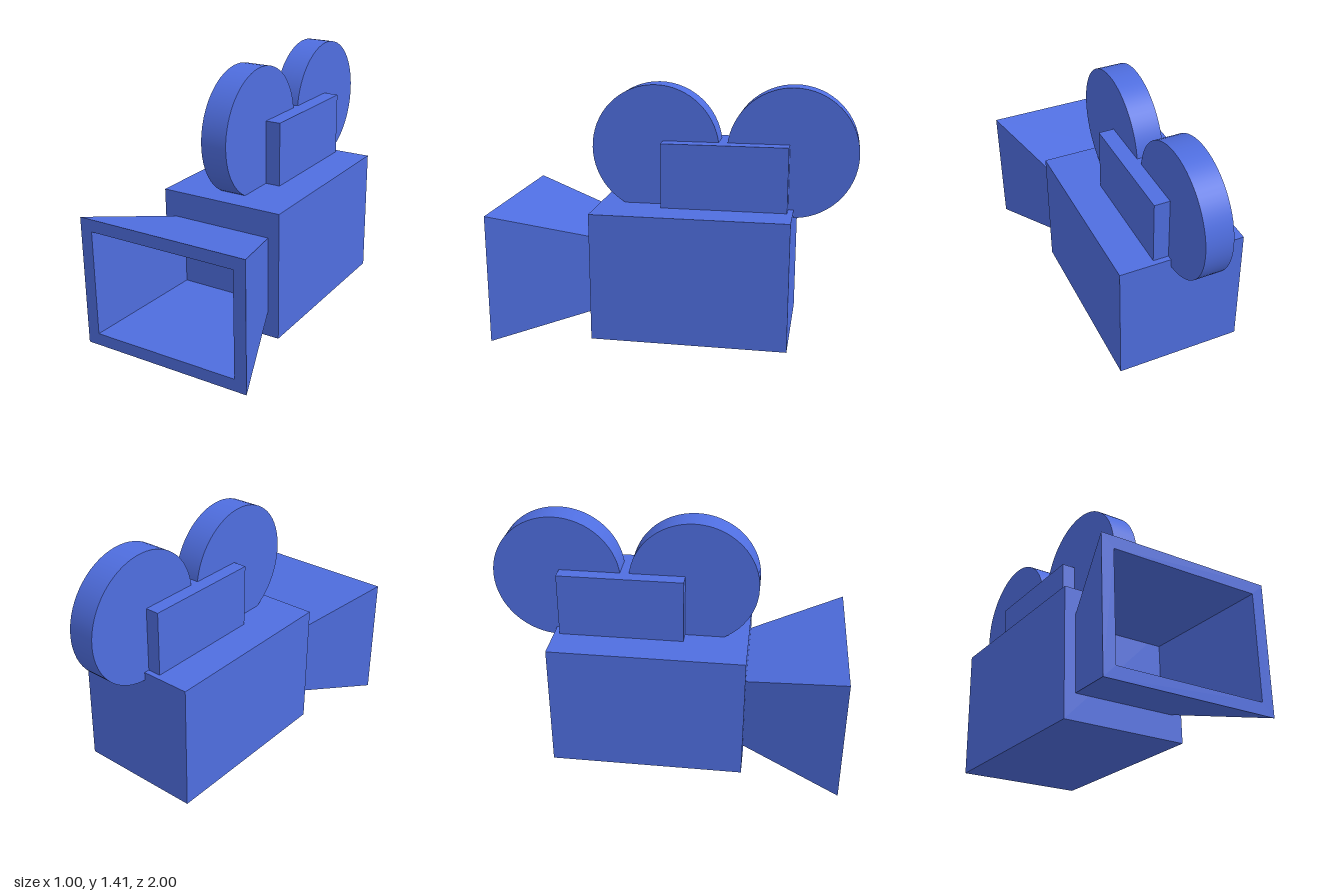
import * as THREE from 'three';

const material = new THREE.MeshStandardMaterial({ color: 0x4f6ee0 });

function addMesh(group, name, geometry, x, y, z) {
  const mesh = new THREE.Mesh(geometry, material);
  mesh.name = name;
  mesh.position.set(x, y, z);
  group.add(mesh);
  return mesh;
}

// Rectangle centred on the origin
function rectangle(target, halfW, halfH) {
  target.moveTo(-halfW, -halfH);
  target.lineTo(halfW, -halfH);
  target.lineTo(halfW, halfH);
  target.lineTo(-halfW, halfH);
  target.closePath();
  return target;
}

// Hollow rectangular frame whose rear end tapers inwards
function hoodGeometry(depth) {
  const frame = rectangle(new THREE.Shape(), 0.5, 0.366);
  frame.holes.push(rectangle(new THREE.Path(), 0.43, 0.297));
  const geometry = new THREE.ExtrudeGeometry(frame, { depth, bevelEnabled: false });
  const p = geometry.attributes.position;
  for (let i = 0; i < p.count; i++) {
    if (p.getZ(i) > depth / 2) continue;
    const taper = Math.abs(p.getX(i)) > 0.46 ? 0.597 : 0.547;
    p.setXY(i, p.getX(i) * taper, p.getY(i) * taper);
  }
  geometry.computeVertexNormals();
  return geometry;
}

export function createModel() {
  const camera = new THREE.Group();
  camera.name = 'movieCamera';

  // Main housing
  addMesh(camera, 'body', new THREE.BoxGeometry(0.73, 0.733, 1.105), 0, 0.3665, -0.1);

  // Flared lens hood, open at the front
  addMesh(camera, 'lensHood', hoodGeometry(0.55), 0, 0.366, 0.45);

  // Block holding the reels
  addMesh(camera, 'reelMount', new THREE.BoxGeometry(0.32, 0.42, 0.71), 0, 0.89, -0.266);

  // Two film reels, axes across the camera
  const reel = new THREE.CylinderGeometry(0.364, 0.364, 0.153, 64);
  reel.rotateZ(Math.PI / 2);
  addMesh(camera, 'frontReel', reel, -0.005, 1.05, 0.135);
  addMesh(camera, 'rearReel', reel, -0.005, 1.05, -0.636);

  return camera;
}
